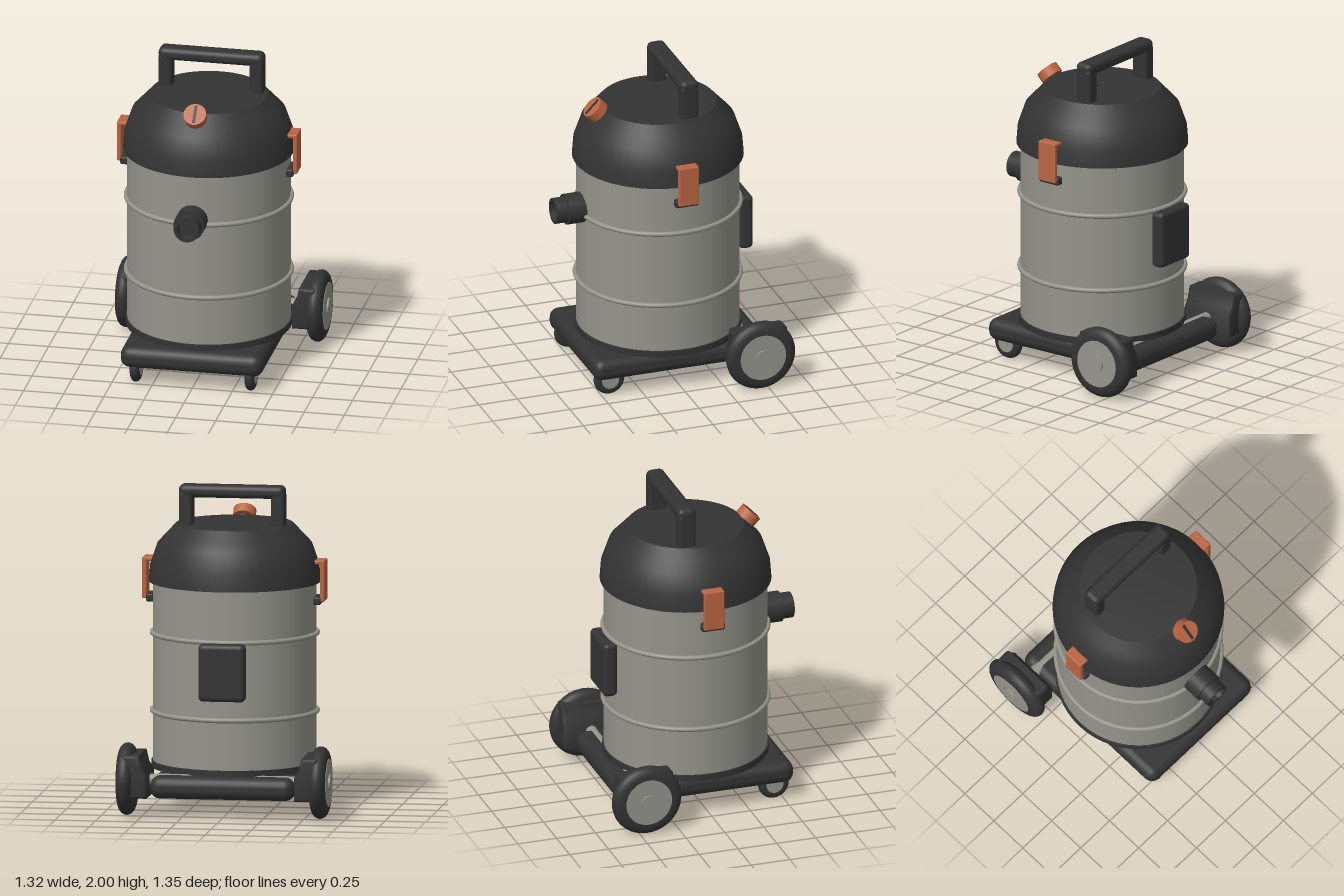
import * as THREE from 'three';
import { RoundedBoxGeometry } from 'three/addons/geometries/RoundedBoxGeometry.js';
import { toCreasedNormals } from 'three/addons/utils/BufferGeometryUtils.js';

const material = (name, color) => {
  const m = new THREE.MeshStandardMaterial({ color });
  m.name = name;
  return m;
};

export function createModel() {
  const dark = material('black plastic', 0x333333);
  const steel = material('brushed steel', 0x94948c);
  const orange = material('orange plastic', 0xba6542);
  const model = new THREE.Group();
  model.name = 'canisterVacuum';

  const add = (parent, name, geometry, mat, x = 0, y = 0, z = 0) => {
    const mesh = new THREE.Mesh(geometry, mat);
    mesh.name = name;
    mesh.position.set(x, y, z);
    parent.add(mesh);
    return mesh;
  };
  const group = (name, x = 0, y = 0, z = 0) => {
    const g = new THREE.Group();
    g.name = name;
    g.position.set(x, y, z);
    model.add(g);
    return g;
  };
  const box = (w, h, d, r) => new RoundedBoxGeometry(w, h, d, 3, r);
  const cyl = (r, h, n = 40) => new THREE.CylinderGeometry(r, r, h, n);
  const lathe = (points, n = 56, crease = 0.5) => toCreasedNormals(
    new THREE.LatheGeometry(points.map(([r, y]) => new THREE.Vector2(r, y)), n), crease);
  const alongX = (g) => g.rotateZ(-Math.PI / 2);
  const alongZ = (g) => g.rotateX(Math.PI / 2);

  // Tyre with a rounded tread, its axis along x
  const tyre = (radius, width, round) => {
    const points = [[0.001, -width / 2]];
    for (let i = 0; i <= 10; i++) {
      const a = -Math.PI / 2 + (i / 10) * Math.PI;
      points.push([radius - round + round * Math.cos(a), (width / 2) * Math.sin(a)]);
    }
    points.push([0.001, width / 2]);
    return alongX(lathe(points, 48, 0.6));
  };

  // Trolley base and drum
  add(model, 'base', box(0.89, 0.14, 1.13, 0.06), dark, 0, 0.185, -0.005);
  add(model, 'drumFoot', cyl(0.51, 0.04, 56), dark, 0, 0.272, 0);
  add(model, 'drum', cyl(0.5, 1.13, 56), steel, 0, 0.845, 0);
  for (const y of [0.6, 1.08]) {
    add(model, 'drumRib', alongZ(new THREE.TorusGeometry(0.505, 0.015, 10, 64)), steel, 0, y, 0);
  }

  // Motor head
  add(model, 'head', lathe([
    [0.001, 1.395], [0.525, 1.395], [0.517, 1.5], [0.472, 1.63],
    [0.415, 1.69], [0.36, 1.75], [0.001, 1.77],
  ], 56, 0.55), dark);

  // Carrying handle
  for (const s of [-1, 1]) {
    add(model, 'handlePost', box(0.085, 0.24, 0.11, 0.02), dark, s * 0.284, 1.84, -0.095);
  }
  add(model, 'handleGrip', box(0.655, 0.08, 0.115, 0.034), dark, 0, 1.96, -0.095);

  // Tilted dial with a slot
  const dial = group('dial', 0, 1.75, 0.405);
  dial.rotation.x = Math.PI / 4;
  add(dial, 'dialStem', cyl(0.045, 0.08, 24), dark, 0, -0.055, 0);
  add(dial, 'dialKnob', cyl(0.07, 0.06, 36), orange);
  add(dial, 'dialSlot', new THREE.BoxGeometry(0.018, 0.008, 0.115), dark, 0, 0.03, 0);

  // Hose inlet with a hollow mouth
  const inlet = group('inlet', 0, 1.108, 0);
  add(inlet, 'inletCollar', alongZ(cyl(0.095, 0.13)), dark, 0, 0, 0.54);
  add(inlet, 'inletPipe', alongZ(lathe([
    [0.08, 0.59], [0.08, 0.678], [0.06, 0.678], [0.06, 0.61], [0.001, 0.61],
  ], 40)), dark);

  // Box on the back of the drum
  add(model, 'backBox', box(0.29, 0.355, 0.09, 0.03), dark, 0, 0.9, -0.527);

  // Side latches
  for (const s of [-1, 1]) {
    const latch = group(s > 0 ? 'leftLatch' : 'rightLatch');
    add(latch, 'latchPlate', box(0.028, 0.255, 0.13, 0.008), orange, s * 0.549, 1.41, -0.003);
    add(latch, 'latchHook', box(0.07, 0.024, 0.13, 0.008), orange, s * 0.528, 1.525, -0.003);
    add(latch, 'latchHinge', box(0.05, 0.05, 0.148, 0.012), dark, s * 0.515, 1.288, 0);
  }

  // Rear axle, wheels and wheel brackets
  const axleY = 0.225, axleZ = -0.453;
  add(model, 'axle', alongX(cyl(0.035, 1.12, 24)), steel, 0, axleY, axleZ);
  const bracket = new THREE.Shape([
    [0.475, 0.145], [0.58, 0.145], [0.58, 0.37], [0.517, 0.37], [0.503, 0.31], [0.475, 0.265],
  ].map(([x, y]) => new THREE.Vector2(x, y)));
  const bracketGeometry = toCreasedNormals(new THREE.ExtrudeGeometry(bracket, {
    depth: 0.31, bevelThickness: 0.02, bevelSize: 0.02, bevelSegments: 3,
  }).translate(0, 0, -0.155), 0.8);
  for (const s of [-1, 1]) {
    const side = group(s > 0 ? 'leftRearWheel' : 'rightRearWheel', 0, 0, axleZ);
    if (s < 0) side.rotation.y = Math.PI;
    add(side, 'wheelBracket', bracketGeometry, dark);
    add(side, 'tyre', tyre(0.222, 0.1, 0.06), dark, 0.596, axleY, 0);
    add(side, 'hubDisc', alongX(cyl(0.147, 0.012, 48)), steel, 0.643, axleY, 0);
    add(side, 'hubCap', alongX(cyl(0.05, 0.02, 32)), steel, 0.65, axleY, 0);
  }

  // Small front casters
  for (const s of [-1, 1]) {
    const caster = group(s > 0 ? 'leftCaster' : 'rightCaster', s * 0.358, 0.1, 0.445);
    add(caster, 'casterTyre', tyre(0.098, 0.06, 0.035), dark);
    add(caster, 'casterHub', alongX(cyl(0.055, 0.064, 28)), steel);
    add(caster, 'casterPin', alongX(cyl(0.02, 0.074, 20)), steel);
  }
  return model;
}
